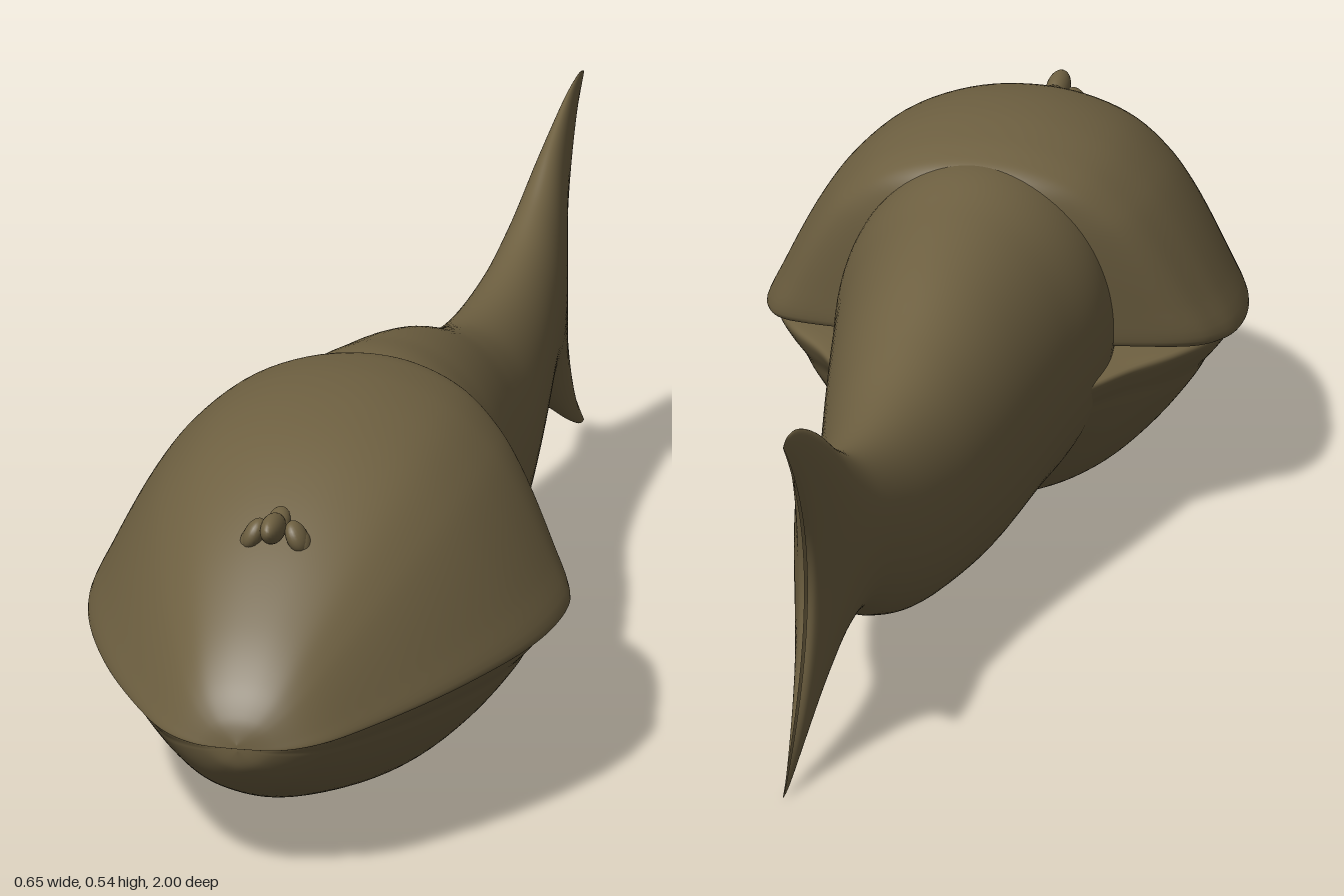
import * as THREE from 'three';
import { mergeVertices } from 'three/addons/utils/BufferGeometryUtils.js';

const RING = 96, STEPS = 96;

// Closed outline from its +x half, listed from bottom centre to top centre
function mirroredRing(half) {
  const other = half.slice(1, -1).reverse().map(([x, y]) => [-x, y]);
  const points = [...half, ...other].map(([x, y]) => new THREE.Vector3(x, y, 0));
  const curve = new THREE.CatmullRomCurve3(points, true, 'centripetal');
  return Array.from({ length: RING }, (_, j) => curve.getPoint(j / RING));
}

// Smoothly interpolate every column of a section table
function sample(rows, t) {
  const f = t * (rows.length - 1);
  const i = Math.min(Math.floor(f), rows.length - 2);
  const at = (k) => rows[THREE.MathUtils.clamp(k, 0, rows.length - 1)];
  return rows[0].map((_, c) =>
    THREE.MathUtils.lerp(0, 1, 1) * cubic(at(i - 1)[c], at(i)[c], at(i + 1)[c], at(i + 2)[c], f - i));
}

function cubic(a, b, c, d, t) {
  const m0 = (c - a) / 2, m1 = (d - b) / 2;
  return (2 * b - 2 * c + m0 + m1) * t ** 3 + (-3 * b + 3 * c - 2 * m0 - m1) * t * t + m0 * t + b;
}

// Skin rows of [z, half width, base y, height, bow], running from front to back
function loft(rows, ring, bowRule) {
  const pos = [], index = [];
  for (let i = 0; i <= STEPS; i++) {
    const [z, w, base, h, bow] = sample(rows, i / STEPS);
    for (const p of ring) {
      pos.push(p.x * Math.max(w, 0), base + p.y * h, z + bow * bowRule(p.y));
    }
  }
  for (let i = 0; i < STEPS; i++) {
    for (let j = 0; j < RING; j++) {
      const k = (j + 1) % RING;
      const a = i * RING + j, b = a + RING, c = (i + 1) * RING + k, d = i * RING + k;
      index.push(a, b, c, a, c, d);
    }
  }
  let g = new THREE.BufferGeometry();
  g.setAttribute('position', new THREE.Float32BufferAttribute(pos, 3));
  g.setIndex(index);
  g = mergeVertices(g, 1e-5);
  g.computeVertexNormals();
  return g;
}

export function createModel() {
  const model = new THREE.Group();
  const skin = new THREE.MeshStandardMaterial({ color: 0x6e6041, side: THREE.DoubleSide });
  skin.name = 'olive brown skin';

  const add = (name, geometry) => {
    const mesh = new THREE.Mesh(geometry, skin);
    mesh.name = name;
    model.add(mesh);
    return mesh;
  };

  // Body and crescent tail: z, half width, top, bottom, forward bow of the middle
  const bodyRows = [
    [0.40, 0.17, 0.46, 0.10, 0],
    [0.25, 0.188, 0.513, 0.05, 0],
    [0.10, 0.168, 0.493, 0.036, 0],
    [-0.05, 0.145, 0.457, 0.025, 0],
    [-0.20, 0.12, 0.405, 0.036, 0],
    [-0.33, 0.10, 0.37, 0.057, 0],
    [-0.47, 0.08, 0.36, 0.097, 0],
    [-0.60, 0.062, 0.375, 0.142, 0],
    [-0.70, 0.05, 0.412, 0.134, 0.01],
    [-0.80, 0.036, 0.465, 0.09, 0.04],
    [-0.90, 0.022, 0.502, 0.04, 0.09],
    [-0.97, 0.012, 0.513, 0.01, 0.13],
    [-1.00, 0.002, 0.507, 0.005, 0.15],
  ].map(([z, w, top, bottom, bow]) => [z, w, (top + bottom) / 2, (top - bottom) / 2, bow]);
  const oval = Array.from({ length: RING }, (_, j) => {
    const a = (j / RING) * Math.PI * 2;
    return new THREE.Vector3(Math.cos(a), Math.sin(a), 0);
  });
  add('bodyAndTail', loft(bodyRows, oval, (y) => 1 - y * y));

  // Hooded upper head: z, half width, mouth line, top, forward shift of the lower edge
  const hoodRows = [
    [1.00, 0, 0.20, 0.205, 0],
    [0.99, 0.06, 0.20, 0.24, 0],
    [0.96, 0.112, 0.205, 0.285, 0],
    [0.90, 0.16, 0.212, 0.342, 0],
    [0.80, 0.222, 0.222, 0.415, 0],
    [0.70, 0.27, 0.23, 0.473, 0],
    [0.60, 0.305, 0.235, 0.515, 0],
    [0.50, 0.323, 0.239, 0.536, 0.01],
    [0.40, 0.326, 0.243, 0.541, 0.03],
    [0.31, 0.315, 0.246, 0.533, 0.07],
    [0.26, 0.295, 0.25, 0.522, 0.08],
    [0.235, 0.255, 0.255, 0.512, 0.075],
    [0.215, 0.17, 0.262, 0.495, 0.06],
  ].map(([z, w, base, top, bow]) => [z, w, base, top - base, bow]);
  const hoodRing = mirroredRing([
    [0, -0.03], [0.6, -0.03], [0.94, -0.03], [0.985, -0.025], [1, 0], [0.92, 0.2], [0.76, 0.53],
    [0.64, 0.71], [0.47, 0.87], [0.24, 0.97], [0, 1],
  ]);
  add('upperHead', loft(hoodRows, hoodRing, (y) => 1 - y));

  // Lower jaw with a shallow fold beneath the lip
  const jawRows = [
    [0.995, 0, 0.20, 0.195, 0],
    [0.985, 0.055, 0.20, 0.165, 0],
    [0.95, 0.115, 0.205, 0.13, 0],
    [0.90, 0.154, 0.21, 0.102, 0],
    [0.80, 0.215, 0.22, 0.064, 0],
    [0.70, 0.262, 0.228, 0.036, 0],
    [0.60, 0.297, 0.233, 0.015, 0],
    [0.50, 0.314, 0.237, 0.004, 0],
    [0.40, 0.31, 0.241, 0.003, 0],
    [0.32, 0.275, 0.24, 0.015, 0],
    [0.25, 0.222, 0.235, 0.04, 0],
    [0.18, 0.18, 0.23, 0.056, 0],
    [0.10, 0.13, 0.225, 0.075, 0],
  ].map(([z, w, base, bottom, bow]) => [z, w, base, base - bottom, bow]);
  const jawRing = mirroredRing([
    [0, -1], [0.29, -0.925], [0.48, -0.8], [0.67, -0.58], [0.83, -0.32], [0.875, -0.22],
    [0.94, -0.12], [0.98, -0.03], [0.96, 0], [0.6, 0], [0, 0],
  ]);
  add('lowerJaw', loft(jawRows, jawRing, () => 0));

  // Small three-lobed nostril crest on the snout
  const lobe = new THREE.SphereGeometry(1, 24, 16);
  const addLobe = (name, position, size, rotation) => {
    const mesh = add(name, lobe);
    mesh.position.set(...position);
    mesh.scale.set(...size);
    mesh.rotation.set(...rotation);
  };
  addLobe('crestHorn', [0, 0.447, 0.79], [0.016, 0.021, 0.04], [-0.15, 0, 0]);
  addLobe('crestRidge', [0, 0.445, 0.76], [0.016, 0.016, 0.03], [0.4, 0, 0]);
  for (const side of [-1, 1]) {
    addLobe(side > 0 ? 'crestLobeLeft' : 'crestLobeRight',
      [side * 0.03, 0.432, 0.775], [0.014, 0.024, 0.022], [0, 0, side * 0.45]);
    addLobe(side > 0 ? 'crestFootLeft' : 'crestFootRight',
      [side * 0.039, 0.424, 0.773], [0.01, 0.018, 0.016], [0, 0, side * 0.3]);
  }
  return model;
}
